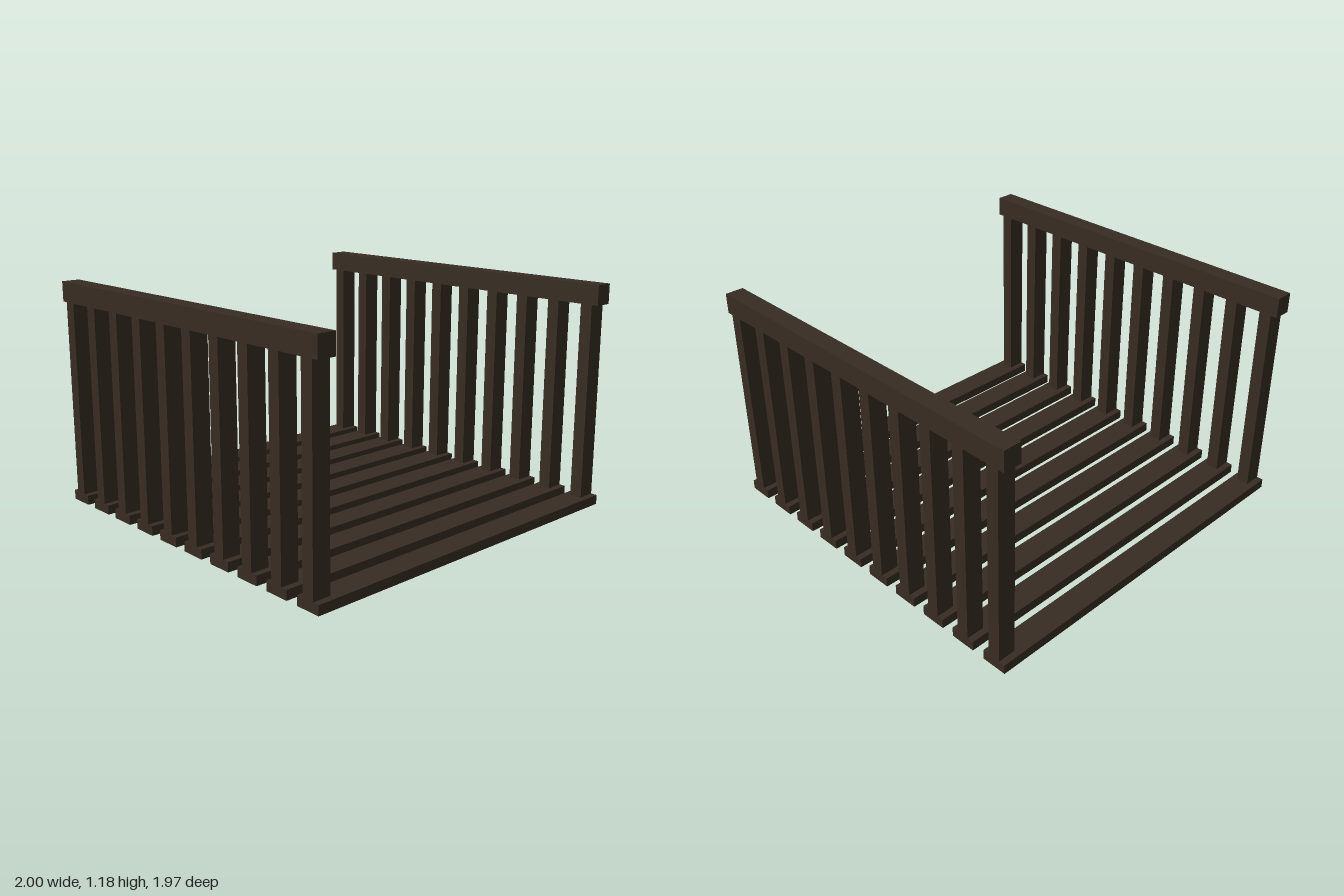
import * as THREE from 'three';

const COUNT = 10, PITCH = 0.2039;
const PLANK_H = 0.05, RAIL_BOTTOM = 1.08, TOP = 1.185;
const RAIL_W = 0.097, LENGTH = 1.97;

export function createModel() {
  const model = new THREE.Group();
  model.name = 'slattedBridge';
  const wood = new THREE.MeshStandardMaterial({ color: 0x372c22 });
  wood.name = 'dark wood';

  const addBox = (name, w, h, d, x, bottom, z) => {
    const mesh = new THREE.Mesh(new THREE.BoxGeometry(w, h, d), wood);
    mesh.name = name;
    mesh.position.set(x, bottom + h / 2, z);
    model.add(mesh);
  };

  const sides = [['left', 1], ['right', -1]];
  const railX = 1 - RAIL_W / 2;

  // Floor planks, each carrying a baluster at both ends
  for (let i = 0; i < COUNT; i++) {
    const z = (i - (COUNT - 1) / 2) * PITCH;
    addBox(`plank${i + 1}`, 2, PLANK_H, 0.135, 0, 0, z);
    for (const [side, s] of sides) {
      addBox(`${side}Baluster${i + 1}`, RAIL_W, RAIL_BOTTOM - PLANK_H, 0.066, s * railX, PLANK_H, z);
    }
  }

  // Handrails
  for (const [side, s] of sides) {
    addBox(`${side}Handrail`, RAIL_W, TOP - RAIL_BOTTOM, LENGTH, s * railX, RAIL_BOTTOM, 0);
  }
  return model;
}
